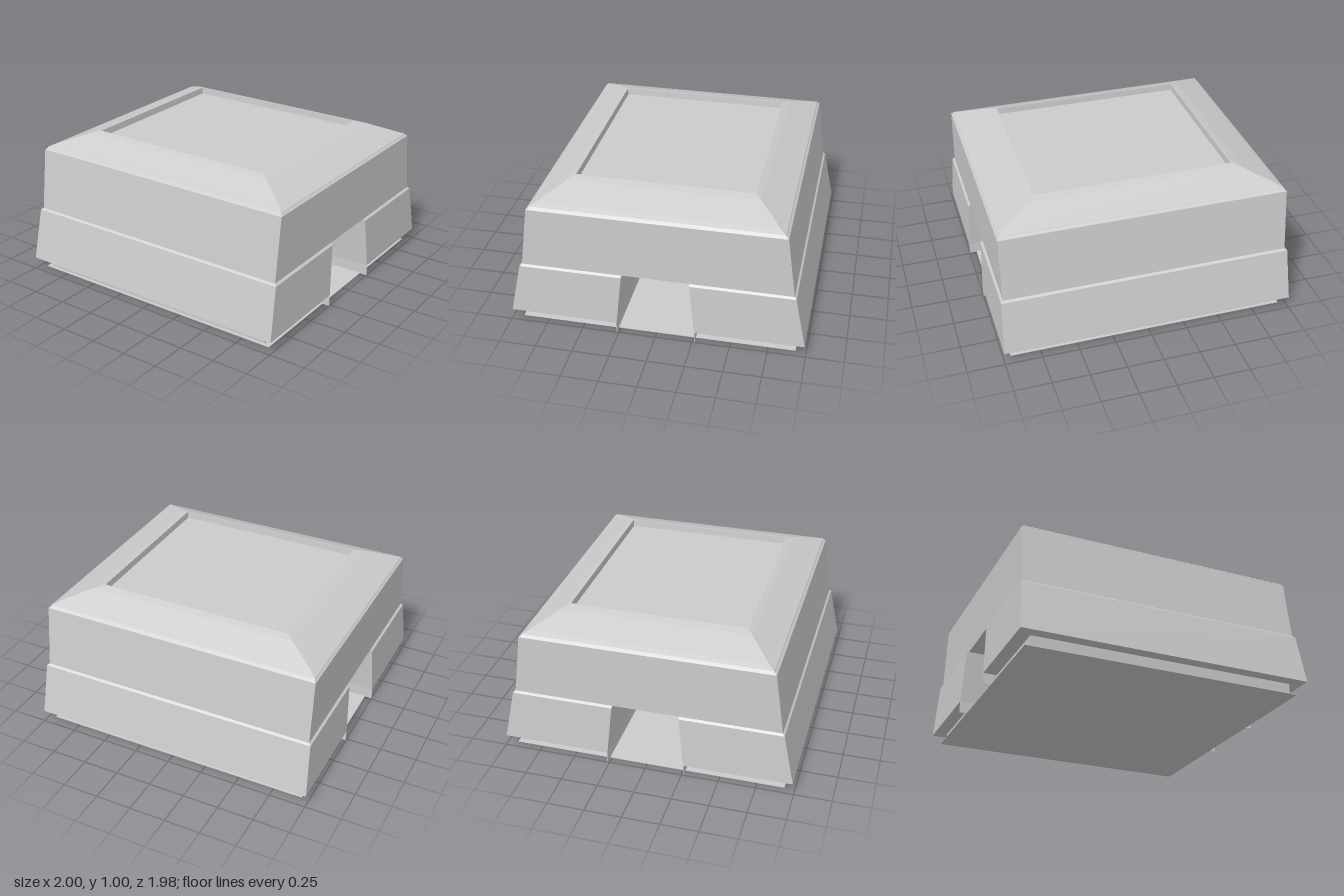
import * as THREE from 'three';

const material = new THREE.MeshStandardMaterial({ color: 0xcccccc, flatShading: true });

// Closed solid through rectangular rings [y, halfWidth, zBack, zFront], listed from bottom to top
function loft(name, rings) {
  const corners = rings.map(([y, x, z0, z1]) => [[-x, y, z1], [x, y, z1], [x, y, z0], [-x, y, z0]]);
  const positions = [];
  const quad = (a, b, c, d) => positions.push(...a, ...b, ...c, ...a, ...c, ...d);
  for (let r = 0; r < corners.length - 1; r++) {
    for (let i = 0; i < 4; i++) {
      const j = (i + 1) % 4;
      quad(corners[r][i], corners[r][j], corners[r + 1][j], corners[r + 1][i]);
    }
  }
  const bottom = corners[0], top = corners[corners.length - 1];
  quad(top[0], top[1], top[2], top[3]);
  quad(bottom[3], bottom[2], bottom[1], bottom[0]);
  const geometry = new THREE.BufferGeometry();
  geometry.setAttribute('position', new THREE.Float32BufferAttribute(positions, 3));
  geometry.computeVertexNormals();
  const mesh = new THREE.Mesh(geometry, material);
  mesh.name = name;
  return mesh;
}

// Ring centred on z = 0
const ring = (y, x, z) => [y, x, -z, z];

export function createModel() {
  const group = new THREE.Group();
  group.name = 'building';

  // Thin ground plate, also the floor of the passage
  group.add(loft('groundPlate', [ring(0, 0.95, 0.93), ring(0.004, 0.95, 0.93)]));

  // Front and back halves of the lower storey, either side of the passage
  for (const side of [1, -1]) {
    const half = (y, x, inner, outer) => (side > 0 ? [y, x, inner, outer] : [y, x, -outer, -inner]);
    const label = side > 0 ? 'front' : 'back';
    group.add(loft(label + 'Plinth', [half(0.004, 0.91, 0.262, 0.91), half(0.08, 0.91, 0.262, 0.91)]));
    group.add(loft(label + 'LowerStorey', [
      half(0.08, 1, 0.262, 0.99),
      half(0.435, 0.985, 0.226, 0.917),
      half(0.447, 0.97, 0.225, 0.903),
    ]));

    // Passage jambs reach the ground outside the plinth
    for (const end of [1, -1]) {
      const jamb = new THREE.Mesh(new THREE.BoxGeometry(0.09, 0.08, 0.004), material);
      jamb.name = label + (end > 0 ? 'Left' : 'Right') + 'Jamb';
      jamb.position.set(end * 0.955, 0.04, side * 0.264);
      group.add(jamb);
    }
  }

  // Upper storey, spanning the passage
  group.add(loft('upperStorey', [
    ring(0.447, 0.97, 0.903),
    ring(0.87, 0.97, 0.845),
    ring(0.882, 0.955, 0.828),
  ]));

  // Hipped roof with a sunken flat panel
  group.add(loft('roof', [
    ring(0.882, 0.96, 0.83),
    ring(0.889, 0.955, 0.825),
    ring(0.905, 0.92, 0.79),
    ring(0.98, 0.73, 0.64),
    ring(0.996, 0.675, 0.595),
    ring(0.996, 0.668, 0.59),
    ring(0.95, 0.664, 0.586),
  ]));

  return group;
}
